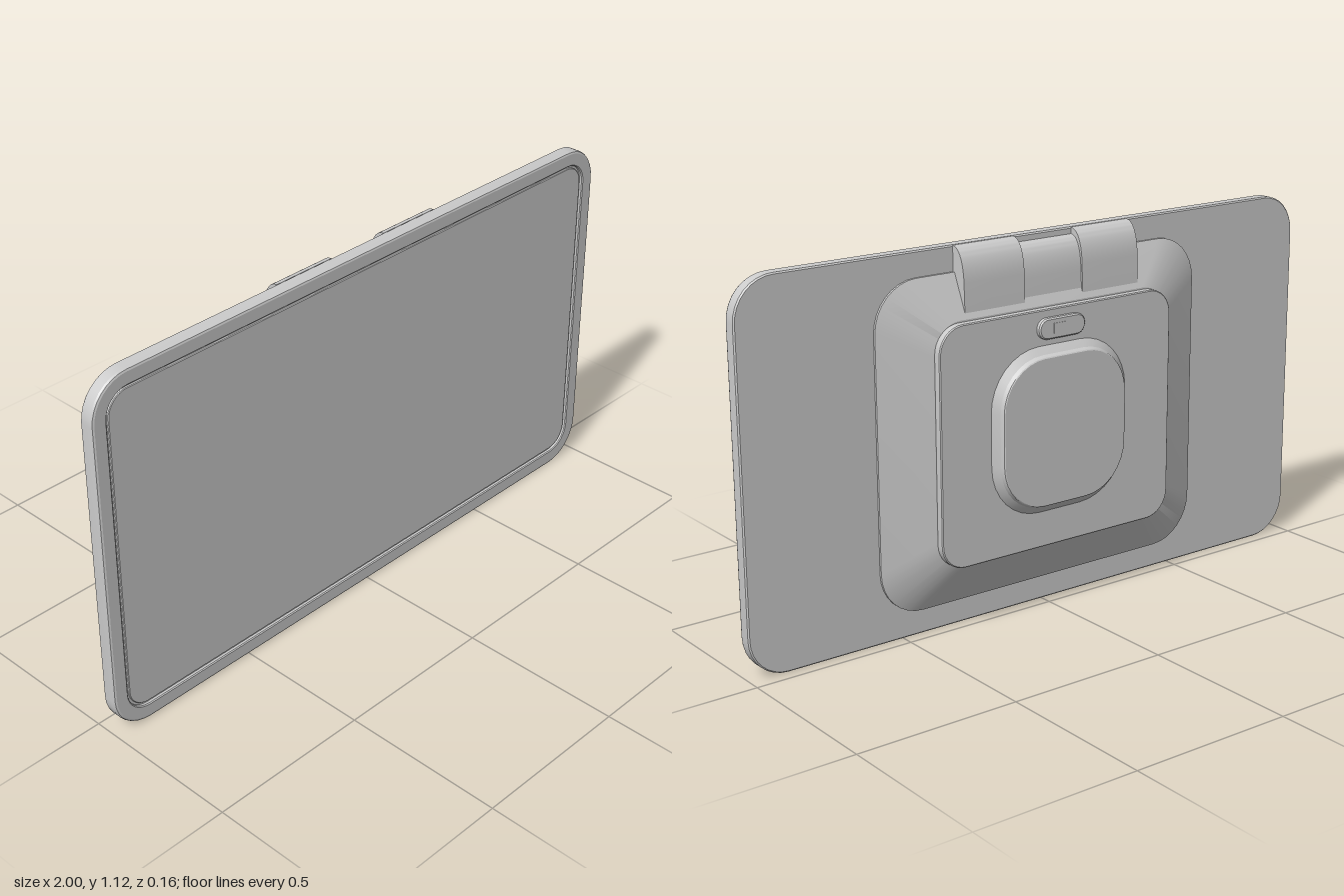
import * as THREE from 'three';
import { toCreasedNormals } from 'three/addons/utils/BufferGeometryUtils.js';

const grey = new THREE.MeshStandardMaterial({ color: 0xcccccc });
const STEPS = 8; // segments per rounded corner

// Outline of a rounded rectangle, counter-clockwise seen from the front
function roundedRect(w, h, r) {
  const points = [];
  [[1, 1], [-1, 1], [-1, -1], [1, -1]].forEach(([sx, sy], q) => {
    for (let i = 0; i <= STEPS; i++) {
      const a = (q + i / STEPS) * Math.PI / 2;
      points.push([sx * (w / 2 - r) + r * Math.cos(a), sy * (h / 2 - r) + r * Math.sin(a)]);
    }
  });
  return points;
}

// Capped solid through rounded rectangles [width, height, radius, z], front to back
function loft(name, y, sections) {
  const pos = [], index = [], n = 4 * (STEPS + 1);
  for (const [w, h, r, z] of sections) {
    for (const [px, py] of roundedRect(w, h, r)) pos.push(px, y + py, z);
  }
  const last = sections.length - 1;
  pos.push(0, y, sections[0][3], 0, y, sections[last][3]);
  const front = n * (last + 1), back = front + 1;
  for (let j = 0; j < n; j++) {
    const k = (j + 1) % n;
    for (let s = 0; s < last; s++) {
      const a = s * n + j, b = s * n + k;
      index.push(a, a + n, b, b, a + n, b + n);
    }
    index.push(front, j, k, back, last * n + k, last * n + j);
  }
  const geo = new THREE.BufferGeometry();
  geo.setAttribute('position', new THREE.Float32BufferAttribute(pos, 3));
  geo.setIndex(index);
  const mesh = new THREE.Mesh(toCreasedNormals(geo, 0.3), grey);
  mesh.name = name;
  return mesh;
}

// Hinge knuckle: curved side profile extruded along x
function knuckle(name, x0, x1, top, depth) {
  const s = new THREE.Shape();
  s.moveTo(-0.037, top);
  s.bezierCurveTo(-0.01, top, depth - 0.003, top - 0.03, depth, top - 0.1);
  s.lineTo(depth + 0.003, 0.935);
  s.lineTo(-0.037, 0.92);
  s.closePath();
  const geo = new THREE.ExtrudeGeometry(s, { depth: x1 - x0, bevelEnabled: false, curveSegments: 14 });
  geo.rotateY(Math.PI / 2).translate(x0, 0, 0);
  const mesh = new THREE.Mesh(toCreasedNormals(geo, 0.5), grey);
  mesh.name = name;
  return mesh;
}

export function createModel() {
  const model = new THREE.Group();
  model.name = 'tabletDisplay';
  const panelY = 0.5625, mountY = 0.5625;

  // Casing with a shallow recess holding the screen
  model.add(loft('casing', panelY, [
    [1.905, 1.03, 0.075, 0.07],
    [1.905, 1.03, 0.075, 0.078],
    [1.911, 1.036, 0.078, 0.081],
    [1.984, 1.109, 0.115, 0.081],
    [1.995, 1.12, 0.12, 0.079],
    [2, 1.125, 0.122, 0.073],
    [2, 1.125, 0.122, 0.04],
    [1.992, 1.117, 0.118, 0.036],
  ]));
  model.add(loft('screen', panelY, [
    [1.885, 1.01, 0.065, 0.077],
    [1.889, 1.014, 0.067, 0.075],
    [1.889, 1.014, 0.067, 0.065],
  ]));

  // Sloped housing on the back, plate and raised boss
  model.add(loft('rearHousing', mountY, [
    [1.15, 0.975, 0.14, 0.04],
    [1.15, 0.975, 0.14, 0.029],
    [0.84, 0.725, 0.09, -0.026],
  ]));
  model.add(loft('rearPlate', mountY, [
    [0.836, 0.715, 0.08, -0.02],
    [0.836, 0.715, 0.08, -0.047],
    [0.83, 0.709, 0.077, -0.05],
  ]));
  model.add(loft('rearBoss', 0.565, [
    [0.49, 0.5, 0.17, -0.045],
    [0.49, 0.5, 0.17, -0.05],
    [0.45, 0.456, 0.15, -0.067],
    [0.442, 0.446, 0.146, -0.079],
    [0.436, 0.44, 0.143, -0.081],
  ]));

  // Pill-shaped button with a small central slider
  model.add(loft('button', 0.865, [
    [0.166, 0.062, 0.0305, -0.045],
    [0.166, 0.062, 0.0305, -0.061],
    [0.158, 0.054, 0.0265, -0.065],
  ]));
  const slider = new THREE.Mesh(new THREE.BoxGeometry(0.046, 0.03, 0.004), grey);
  slider.name = 'buttonSlider';
  slider.position.set(0.01, 0.865, -0.0645);
  model.add(slider);

  // Three-part hinge at the top, the middle one set slightly lower
  model.add(knuckle('hingeRight', -0.317, -0.108, 1.124, 0.016));
  model.add(knuckle('hingeMiddle', -0.108, 0.1, 1.105, 0.011));
  model.add(knuckle('hingeLeft', 0.1, 0.309, 1.124, 0.016));
  return model;
}
